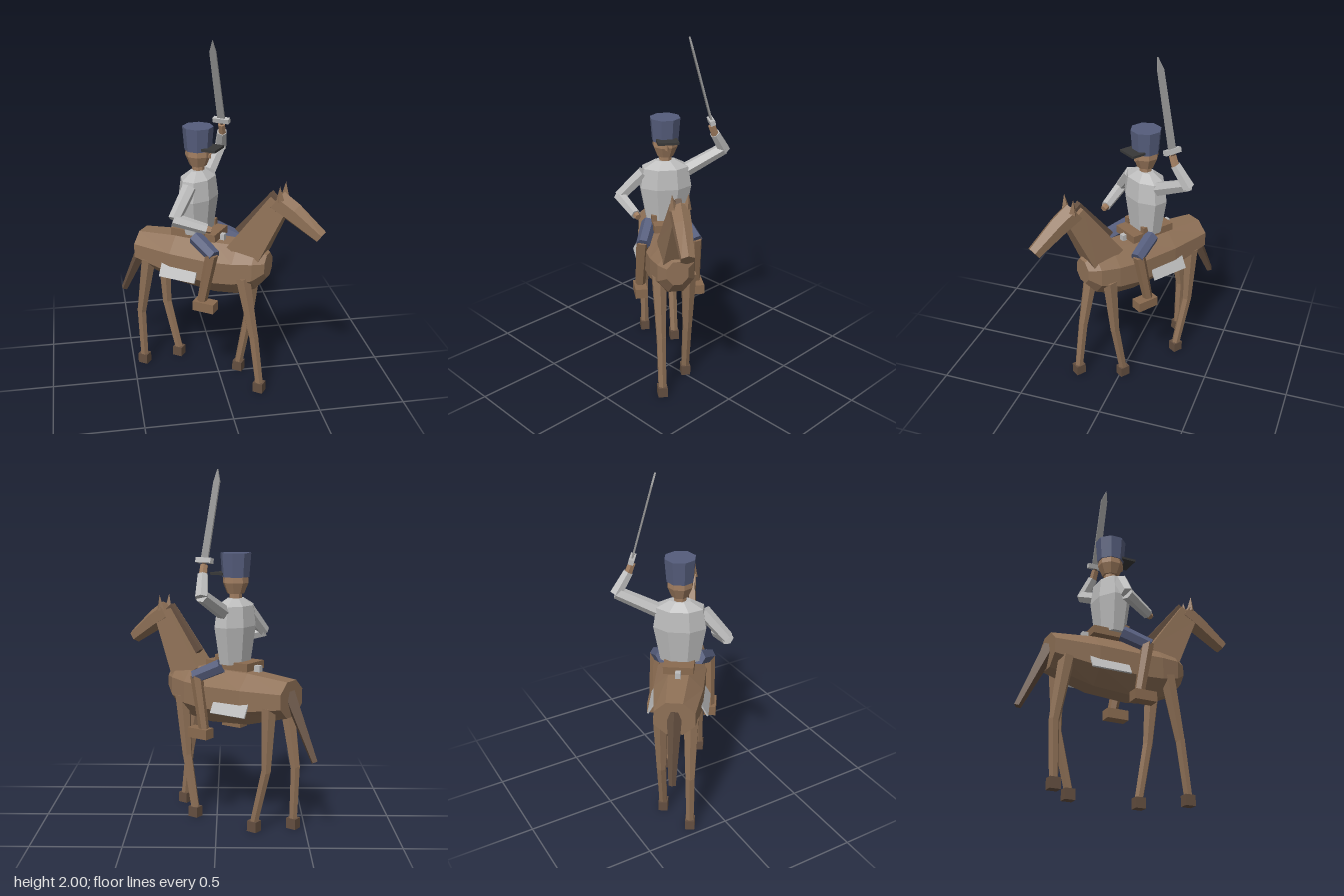
import * as THREE from 'three';

const mat = (name, color, extra = {}) => {
  const m = new THREE.MeshStandardMaterial({ color, flatShading: true, ...extra });
  m.name = name;
  return m;
};

// Loft of n-sided rings: each section is [z, y, halfWidth, halfHeight, tilt]
function loft(sections, n) {
  const k = Math.cos(Math.PI / n);
  const pos = [], idx = [];
  for (const [z, y, hw, hh, tilt = 0] of sections) {
    for (let i = 0; i < n; i++) {
      const t = ((i + 0.5) / n) * Math.PI * 2;
      const u = (Math.cos(t) * hw) / k, v = (Math.sin(t) * hh) / k;
      pos.push(u, y + v * Math.cos(tilt), z - v * Math.sin(tilt));
    }
  }
  const last = (sections.length - 1) * n;
  for (let j = 0; j < last; j += n) {
    for (let i = 0; i < n; i++) {
      const a = j + i, b = j + ((i + 1) % n);
      idx.push(a, b, b + n, a, b + n, a + n);
    }
  }
  for (let i = 1; i < n - 1; i++) {
    idx.push(0, i + 1, i, last, last + i, last + i + 1);
  }
  let g = new THREE.BufferGeometry();
  g.setAttribute('position', new THREE.Float32BufferAttribute(pos, 3));
  g.setIndex(idx);
  g = g.toNonIndexed();
  g.computeVertexNormals();
  return g;
}

export function createModel() {
  const horseBrown = mat('horse brown', 0x8f7157);
  const darkBrown = mat('dark brown', 0x644f40);
  const leather = mat('leather brown', 0x8a6b50);
  const skin = mat('skin', 0xa07d60);
  const coat = mat('coat grey', 0xbdbdbd);
  const navy = mat('navy cloth', 0x555d7c);
  const black = mat('black', 0x383838);
  const steel = mat('steel', 0x949494);

  const model = new THREE.Group();
  model.name = 'mountedSoldier';
  // Everything is laid out facing +z, then turned as one
  const rig = new THREE.Group();
  rig.name = 'horseAndRider';
  rig.rotation.y = THREE.MathUtils.degToRad(55);
  model.add(rig);

  const add = (name, geo, material, p = [0, 0, 0]) => {
    const m = new THREE.Mesh(geo, material);
    m.name = name;
    m.position.set(...p);
    rig.add(m);
    return m;
  };
  const box = (name, size, p, material) => add(name, new THREE.BoxGeometry(...size), material, p);
  const limb = (name, a, b, ra, rb, material, sides = 6) => {
    const A = new THREE.Vector3(...a), B = new THREE.Vector3(...b);
    const d = B.clone().sub(A);
    const m = add(name, new THREE.CylinderGeometry(rb, ra, d.length(), sides), material);
    m.position.copy(A).add(B).multiplyScalar(0.5);
    m.quaternion.setFromUnitVectors(new THREE.Vector3(0, 1, 0), d.normalize());
    return m;
  };

  // Horse body, neck and head
  add('horseBody', loft([
    [-0.5, 0.765, 0.113, 0.1], [-0.25, 0.742, 0.14, 0.145], [0, 0.735, 0.142, 0.155],
    [0.14, 0.745, 0.13, 0.15], [0.25, 0.765, 0.103, 0.122], [0.31, 0.785, 0.06, 0.07],
  ], 8), horseBrown);
  add('horseNeck', loft([
    [0.17, 0.83, 0.08, 0.1, 1.0], [0.37, 1.17, 0.045, 0.06, 0.9],
  ], 4), horseBrown);
  add('horseHead', loft([
    [0.355, 1.185, 0.05, 0.06, -0.62], [0.45, 1.13, 0.046, 0.055, -0.62], [0.615, 1.015, 0.035, 0.036, -0.62],
  ], 6), horseBrown);
  for (const s of [-1, 1]) {
    const ear = add('horseEar', new THREE.ConeGeometry(0.025, 0.09, 4), horseBrown, [s * 0.04, 1.24, 0.385]);
    ear.rotation.z = -s * 0.1;
  }

  // Mane along the back of the neck, and the tail
  const mane = box('mane', [0.035, 0.33, 0.05], [0, 1.09, 0.235], darkBrown);
  mane.rotation.x = 0.69;
  limb('tail', [0, 0.8, -0.48], [0, 0.435, -0.65], 0.042, 0.02, darkBrown, 4);

  // Horse legs: [side, hip z, knee z, hoof z]
  const legs = [
    ['front', -1, 0.19, 0.262, 0.303], ['front', 1, 0.185, 0.152, 0.095],
    ['hind', -1, -0.42, -0.48, -0.47], ['hind', 1, -0.41, -0.395, -0.317],
  ];
  for (const [pos, s, hip, knee, hoof] of legs) {
    const x = s * 0.085;
    limb(pos + 'UpperLeg', [x, 0.72, hip], [x, 0.355, knee], 0.046, 0.029, horseBrown);
    limb(pos + 'LowerLeg', [x, 0.365, knee], [x, 0.05, hoof], 0.029, 0.025, horseBrown);
    box(pos + 'Hoof', [0.054, 0.06, 0.06], [x, 0.03, hoof], darkBrown);
  }

  // Saddle, studs and side cloths
  box('saddle', [0.17, 0.045, 0.28], [0, 0.922, -0.125], leather);
  for (const z of [0.02, -0.28]) box('saddleStud', [0.03, 0.035, 0.04], [0, 0.91, z], coat);
  for (const s of [-1, 1]) {
    const cloth = box('saddleCloth', [0.009, 0.09, 0.23], [s * 0.147, 0.7, -0.19], coat);
    cloth.rotation.z = s * 0.5;
  }

  // Rider torso, waist tabs, neck and head
  const cz = -0.128;
  const torso = add('torso', new THREE.LatheGeometry([
    [0, 0.93], [0.118, 0.93], [0.158, 1.14], [0.138, 1.255], [0.06, 1.295], [0, 1.295],
  ].map(([r, y]) => new THREE.Vector2(r, y)), 8, Math.PI / 8), coat, [0, 0, cz]);
  torso.scale.z = 0.66;
  const lathe8 = (name, top, bottom, y0, y1, material) =>
    add(name, new THREE.CylinderGeometry(top, bottom, y1 - y0, 8), material, [0, (y0 + y1) / 2, cz]).rotateY(Math.PI / 8);
  lathe8('riderNeck', 0.036, 0.036, 1.27, 1.345, skin);
  lathe8('riderJaw', 0.073, 0.048, 1.32, 1.38, skin);
  lathe8('riderHead', 0.07, 0.073, 1.38, 1.43, skin);
  const nose = add('nose', new THREE.ConeGeometry(0.014, 0.035, 4), skin, [0, 1.39, -0.053]);
  nose.rotation.x = 0.5;
  lathe8('hat', 0.088, 0.077, 1.412, 1.545, navy);
  box('hatVisor', [0.12, 0.014, 0.085], [0, 1.428, -0.038], black);

  // Rider legs
  for (const s of [-1, 1]) {
    box('waistTab', [0.03, 0.06, 0.03], [s * 0.075, 0.95, -0.065], leather);
    limb('thigh', [s * 0.1, 0.92, -0.1], [s * 0.155, 0.85, 0.045], 0.044, 0.04, navy);
    limb('boot', [s * 0.155, 0.86, 0.03], [s * 0.165, 0.55, -0.03], 0.036, 0.029, leather);
    box('foot', [0.07, 0.057, 0.13], [s * 0.168, 0.538, -0.006], leather);
  }

  // Right arm bent to the front
  limb('rightUpperArm', [-0.125, 1.225, -0.12], [-0.262, 1.08, -0.147], 0.042, 0.036, coat);
  limb('rightForearm', [-0.262, 1.08, -0.152], [-0.19, 1.025, 0.015], 0.037, 0.03, coat);
  limb('rightHand', [-0.19, 1.025, 0.01], [-0.18, 1.018, 0.04], 0.022, 0.018, skin);

  // Left arm raised with the sword
  limb('leftUpperArm', [0.12, 1.225, -0.128], [0.345, 1.335, -0.15], 0.042, 0.036, coat);
  limb('leftForearm', [0.348, 1.325, -0.152], [0.282, 1.44, -0.112], 0.037, 0.03, coat);
  limb('leftHand', [0.285, 1.43, -0.112], [0.262, 1.49, -0.106], 0.024, 0.022, skin);

  const sword = new THREE.Group();
  sword.name = 'sword';
  sword.position.set(0.26, 1.515, -0.106);
  sword.rotation.z = 0.265;
  rig.add(sword);
  const outline = new THREE.Shape([[-0.023, 0], [0.023, 0], [0.02, 0.43], [-0.006, 0.498], [-0.02, 0.43]]
    .map(([x, y]) => new THREE.Vector2(x, y)));
  const blade = new THREE.Mesh(new THREE.ExtrudeGeometry(outline, { depth: 0.01, bevelEnabled: false }), steel);
  blade.name = 'swordBlade';
  blade.rotation.y = Math.PI / 2;
  blade.position.x = -0.005;
  const guard = new THREE.Mesh(new THREE.BoxGeometry(0.03, 0.028, 0.1), coat);
  guard.name = 'swordGuard';
  const grip = new THREE.Mesh(new THREE.CylinderGeometry(0.012, 0.012, 0.1, 6), darkBrown);
  grip.name = 'swordGrip';
  grip.position.y = -0.05;
  sword.add(blade, guard, grip);

  return model;
}
